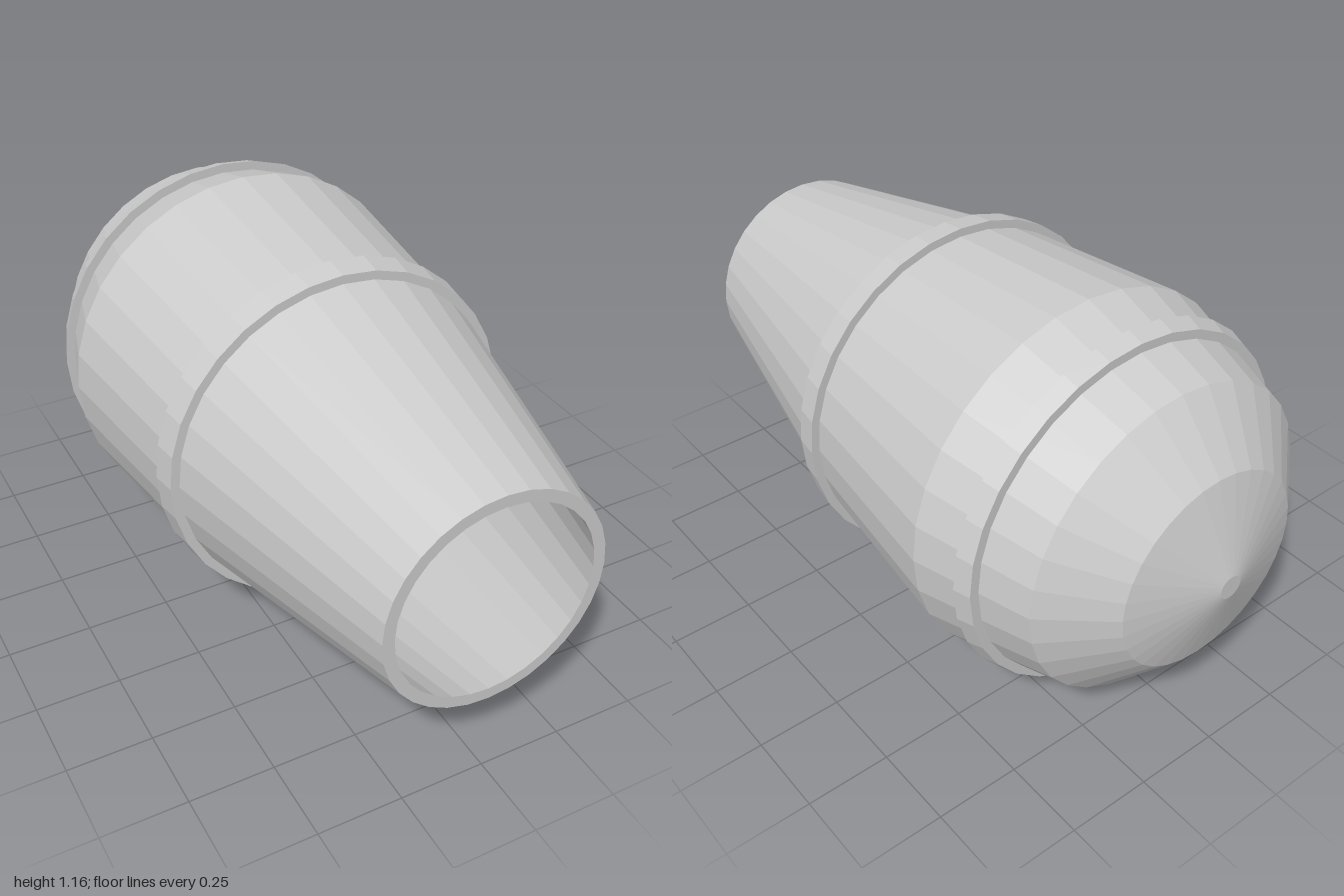
import * as THREE from 'three';

const SEGMENTS = 32;
const AXIS_HEIGHT = 0.58;

export function createModel() {
  const model = new THREE.Group();
  const material = new THREE.MeshStandardMaterial({ color: 0xcccccc, flatShading: true });

  // Turns a profile of [radius, z] points around the z axis.
  function turned(name, profile) {
    const points = profile.map(([r, z]) => new THREE.Vector2(r, z));
    const geometry = new THREE.LatheGeometry(points, SEGMENTS);
    geometry.rotateX(Math.PI / 2);
    const mesh = new THREE.Mesh(geometry, material);
    mesh.name = name;
    mesh.position.y = AXIS_HEIGHT;
    model.add(mesh);
  }

  // Hollow body: domed back, belly, tapered neck, rim, then the inner wall and floor
  turned('body', [
    [0, -1], [0.035, -1], [0.3, -0.92], [0.475, -0.77], [0.578, -0.42],
    [0.515, 0.165], [0.33, 1],
    [0.295, 1], [0.48, 0.165], [0.545, -0.42], [0.44, -0.77], [0.31, -0.88], [0, -0.88],
  ]);

  // Raised bands, each a closed ring that follows the slope of the body
  function band(name, zBack, rBack, zFront, rFront) {
    const depth = 0.06;
    turned(name, [
      [rBack - depth, zBack], [rBack, zBack], [rFront, zFront],
      [rFront - depth, zFront], [rBack - depth, zBack],
    ]);
  }
  band('backBand', -0.62, 0.546, -0.57, 0.562);
  band('frontBand', 0.125, 0.545, 0.2, 0.534);

  return model;
}
